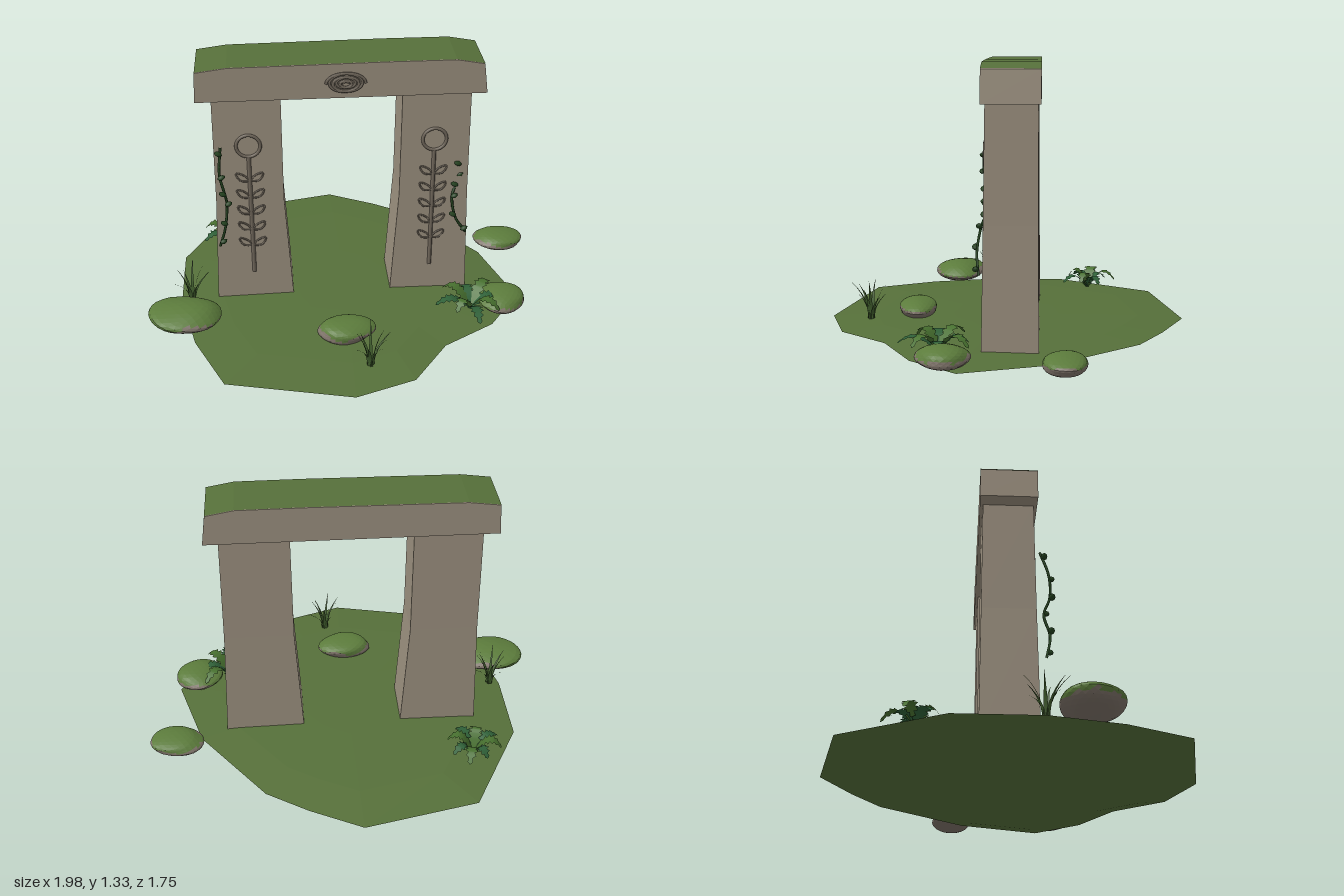
import * as THREE from 'three';
import { mergeGeometries } from 'three/addons/utils/BufferGeometryUtils.js';

const V = (x, y, z) => new THREE.Vector3(x, y, z);
const material = (name, color, extra = {}) => {
  const m = new THREE.MeshStandardMaterial({ color, ...extra });
  m.name = name;
  return m;
};

// Flat-faced solid through closed rings listed from bottom to top
function loft(rings) {
  const pos = [];
  const tri = (...p) => p.forEach(v => pos.push(...v));
  const n = rings[0].length;
  for (let i = 0; i < rings.length - 1; i++)
    for (let j = 0; j < n; j++) {
      const k = (j + 1) % n, a = rings[i], b = rings[i + 1];
      tri(a[j], a[k], b[k]);
      tri(a[j], b[k], b[j]);
    }
  // caps fan from the middle of the end rings
  const cap = (r, up) => {
    const c = [0, 1, 2].map(q => r.reduce((s, p) => s + p[q], 0) / n);
    for (let j = 0; j < n; j++) {
      const k = (j + 1) % n;
      up ? tri(c, r[j], r[k]) : tri(c, r[k], r[j]);
    }
  };
  cap(rings[0], false);
  cap(rings[rings.length - 1], true);
  const g = new THREE.BufferGeometry();
  g.setAttribute('position', new THREE.Float32BufferAttribute(pos, 3));
  g.computeVertexNormals();
  return g;
}

// Strip along points, with a half width at each one
function ribbon(points, width) {
  const pos = [], idx = [];
  const d = points[points.length - 1].clone().sub(points[0]);
  const side = V(d.z, 0, -d.x).normalize();
  points.forEach((p, i) => {
    const w = width(i / (points.length - 1), i);
    for (const s of [-1, 1]) pos.push(p.x + side.x * w * s, p.y, p.z + side.z * w * s);
    if (i) idx.push(2 * i - 2, 2 * i, 2 * i - 1, 2 * i - 1, 2 * i, 2 * i + 1);
  });
  const g = new THREE.BufferGeometry();
  g.setAttribute('position', new THREE.Float32BufferAttribute(pos, 3));
  g.setIndex(idx);
  g.computeVertexNormals();
  return g;
}

const tube = (points, r, closed = false, seg = 24) =>
  new THREE.TubeGeometry(new THREE.CatmullRomCurve3(points, closed), seg, r, 6, closed);

export function createModel() {
  const root = new THREE.Group();
  root.name = 'stoneGateway';
  const two = { side: THREE.DoubleSide };
  const stone = material('stone', 0x9a8f7e, { flatShading: true });
  const carved = material('carvedStone', 0x6f665a);
  const rockGrey = material('rockGrey', 0x7d7268, { flatShading: true });
  const moss = material('moss', 0x56703a, { flatShading: true, ...two });
  const rockMoss = material('rockMoss', 0x5c7c3c, { flatShading: true });
  const vineGreen = material('vineGreen', 0x24421f);
  const grassGreen = material('grassGreen', 0x3f5c2c, two);
  const fernGreen = material('fernGreen', 0x47702f, two);
  const fernDark = material('fernDark', 0x2f6038, two);
  const add = (name, geo, mat, parent = root) => {
    const m = new THREE.Mesh(geo, mat);
    m.name = name;
    parent.add(m);
    return m;
  };

  // Ground: lens-shaped slab with an irregular outline
  const outline = [[-0.02, -0.88], [-0.57, -0.765], [-0.835, -0.29], [-0.835, 0.1], [-0.755, 0.43],
    [-0.61, 0.735], [-0.015, 0.87], [0.27, 0.775], [0.445, 0.545], [0.7, 0.4], [0.87, 0.18],
    [0.745, -0.22], [0.43, -0.63], [0.23, -0.755]];
  const slab = [[0.4, 0.002], [0.82, 0.014], [1, 0.038], [0.75, 0.054], [0.3, 0.06]];
  add('ground', loft(slab.map(([s, y]) => outline.map(([x, z]) => [x * s, y, z * s]))), moss);

  // Pillars: levels of [y, left, right, front, back]
  const pillars = {
    rightPillar: [[0.03, -0.65, -0.265, 0.09, -0.168], [0.62, -0.627, -0.3, 0.08, -0.163], [1.16, -0.62, -0.3, 0.072, -0.16]],
    leftPillar: [[0.03, 0.225, 0.617, 0.09, -0.168], [0.62, 0.262, 0.597, 0.08, -0.163], [1.16, 0.266, 0.59, 0.072, -0.16]],
  };
  for (const [name, levels] of Object.entries(pillars))
    add(name, loft(levels.map(([y, l, r, f, b]) => [[l, y, f], [r, y, f], [r, y, b], [l, y, b]])), stone);

  // Lintel with a mossy top skin
  const top = [[-0.685, 1.303], [-0.54, 1.322], [0.2, 1.328], [0.51, 1.327], [0.64, 1.303]];
  const profile = new THREE.Shape([[-0.695, 1.155], [0.66, 1.155], ...top.slice().reverse()]
    .map(p => new THREE.Vector2(...p)));
  const lintel = new THREE.ExtrudeGeometry(profile, { depth: 0.262, bevelEnabled: false });
  add('lintel', lintel.translate(0, 0, -0.174), stone);
  add('lintelMoss', ribbon(top.map(([x, y]) => V(x, y + 0.003, -0.043)), () => 0.131), moss);

  // Carved plants: ring, stem and five pairs of outlined leaves
  for (const [name, x] of [['rightCarving', -0.46], ['leftCarving', 0.425]]) {
    const g = new THREE.Group();
    g.name = name;
    g.position.x = x;
    root.add(g);
    const faceZ = y => 0.091 - 0.0165 * y;
    add('carvedRing', new THREE.TorusGeometry(0.057, 0.008, 8, 32).translate(0, 0.915, 0.078), carved, g);
    add('carvedStem', tube([V(0, 0.2, faceZ(0.2)), V(0, 0.53, faceZ(0.53)), V(0, 0.86, faceZ(0.86))], 0.01), carved, g);
    for (let i = 0; i < 5; i++)
      for (const s of [-1, 1]) {
        const y = 0.36 + 0.0915 * i, z = faceZ(y);
        const loop = [[0.006, 0], [0.04, 0], [0.058, 0.018], [0.064, 0.042], [0.038, 0.036], [0.016, 0.02]];
        add('carvedLeaf', tube(loop.map(([a, b]) => V(s * a, y + b, z)), 0.0045, true), carved, g);
      }
  }

  // Oval spirals on the lintel
  for (const [name, x, s] of [['rightSpiral', -0.205, -1], ['leftSpiral', 0.365, 1]]) {
    const pts = [];
    for (let i = 0; i <= 60; i++) {
      const t = i / 60, a = t * Math.PI * 5, r = 0.12 + 0.88 * t;
      pts.push(V(-s * 0.092 * r * Math.cos(a), 1.23 + 0.054 * r * Math.sin(a), 0.093));
    }
    add(name, tube(pts, 0.007, false, 120), carved);
  }

  // Climbing vines with small leaf buds
  const vines = {
    rightVine: [[-0.59, 0.925, 0.1], [-0.6, 0.8, 0.138], [-0.582, 0.7, 0.142], [-0.575, 0.62, 0.115], [-0.587, 0.51, 0.14], [-0.62, 0.385, 0.12]],
    leftVine: [[0.552, 0.79, 0.07], [0.55, 0.72, 0.062], [0.542, 0.66, 0.07], [0.522, 0.6, 0.092], [0.54, 0.49, 0.11], [0.597, 0.395, 0.1]],
  };
  for (const [name, p] of Object.entries(vines)) {
    const curve = new THREE.CatmullRomCurve3(p.map(q => V(...q)));
    const parts = [new THREE.TubeGeometry(curve, 30, 0.0065, 6).toNonIndexed()];
    for (let i = 0; i < 6; i++) {
      const c = curve.getPoint(0.04 + i * 0.18), s = i % 2 ? 1 : -1;
      parts.push(new THREE.OctahedronGeometry(0.02, 1).scale(1, 0.65, 0.75)
        .rotateZ(s * 0.5).translate(c.x + s * 0.008, c.y, c.z + 0.01));
    }
    add(name, mergeGeometries(parts), vineGreen);
  }

  // Rocks: lumpy ellipsoids, upward faces mossy; [x, y, z, half sizes, phase]
  const rocks = [[-0.81, 0.1, 0.285, 0.19, 0.058, 0.14, 1], [0.77, 0.083, 0.245, 0.125, 0.05, 0.122, 2.4],
    [0.862, 0.087, -0.28, 0.138, 0.042, 0.105, 4], [-0.025, 0.085, 0.44, 0.142, 0.052, 0.097, 5.3]];
  for (const [x, y, z, rx, ry, rz, ph] of rocks) {
    const ball = new THREE.IcosahedronGeometry(1, 4), p = ball.attributes.position;
    const v = V(0, 0, 0), faces = [[], []];
    for (let i = 0; i < p.count; i++) {
      v.fromBufferAttribute(p, i);
      const k = 0.96 + 0.05 * Math.sin(3 * v.x + ph) * Math.cos(2.5 * v.z - ph) + 0.04 * Math.sin(5 * v.y + 2 * v.x + ph);
      p.setXYZ(i, x + v.x * k * rx, y + v.y * k * ry, z + v.z * k * rz);
    }
    for (let i = 0; i < p.count; i += 3) {
      const cx = (p.getX(i) - x) / rx, cy = (p.getY(i) - y) / ry;
      const list = faces[cy > 0.1 + 0.18 * Math.sin(4 * cx + ph) ? 1 : 0];
      for (let j = i; j < i + 3; j++) list.push(p.getX(j), p.getY(j), p.getZ(j));
    }
    faces.forEach((f, i) => {
      const g = new THREE.BufferGeometry();
      g.setAttribute('position', new THREE.Float32BufferAttribute(f, 3));
      g.computeVertexNormals();
      add(i ? 'rockMossCap' : 'rock', g, i ? rockMoss : rockGrey);
    });
  }

  // Grass tufts: tapered blades leaning outwards
  for (const [x, z] of [[-0.78, 0.1], [0.07, 0.665]]) {
    const blades = [];
    for (let i = 0; i < 9; i++) {
      const a = i * 2.4, reach = 0.05 + 0.06 * ((i * 7 % 9) / 9), h = 0.21 - 0.09 * ((i * 5 % 9) / 9);
      const pts = [];
      for (let j = 0; j <= 6; j++) {
        const t = j / 6, r = 0.012 + reach * t * t;
        pts.push(V(x + Math.cos(a) * r, 0.05 + h * (t - 0.08 * t * t * t) * 1.05, z + Math.sin(a) * r));
      }
      blades.push(ribbon(pts, t => 0.012 * (1 - t) + 0.0005));
    }
    add('grassTuft', mergeGeometries(blades), grassGreen);
  }

  // Ferns: arching fronds with toothed edges in two greens
  for (const [x, z, size, turn] of [[-0.6, -0.43, 0.155, 0.3], [0.61, 0.28, 0.19, 0.7]]) {
    const fronds = [[], []];
    for (let i = 0; i < 8; i++) {
      const a = turn + i * Math.PI / 4, len = size * (0.85 + 0.15 * Math.sin(i * 2.3));
      const pts = [];
      for (let j = 0; j <= 14; j++) {
        // every second point steps outwards so the teeth sweep forward
        const t = (j + (j % 2 ? 0.35 : 0)) / 14, r = len * t;
        const y = 0.055 + 0.095 * Math.sin(Math.PI * Math.min(1, t * 0.82)) * (i % 2 ? 0.75 : 1);
        pts.push(V(x + Math.cos(a) * r, y, z + Math.sin(a) * r));
      }
      fronds[i % 2].push(ribbon(pts, (t, j) =>
        (j % 2 ? 1 : 0.5) * 0.036 * Math.pow(Math.sin(Math.PI * (0.1 + 0.9 * t)), 0.7 ) + 0.001));
    }
    add('fernFronds', mergeGeometries(fronds[0]), fernGreen);
    add('fernDarkFronds', mergeGeometries(fronds[1]), fernDark);
  }
  return root;
}
